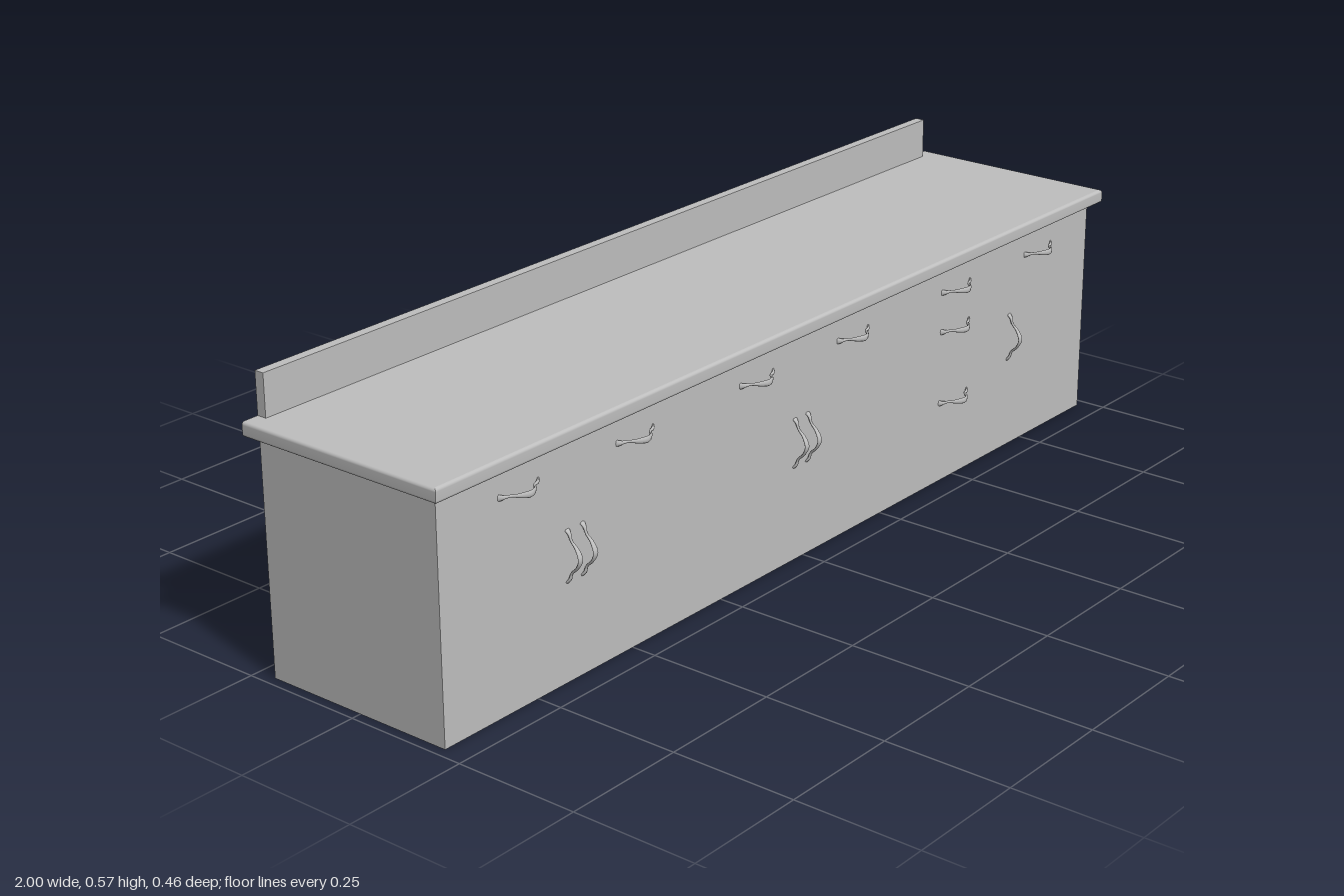
import * as THREE from 'three';

const TOP = 0.484, UNDER = 0.456, BACK = -0.23;

const grey = new THREE.MeshStandardMaterial({ color: 0xbebebe, side: THREE.DoubleSide });
grey.name = 'plain grey';

// Surface through rows of points, with smooth normals
function loft(rows, closed = false) {
  const n = rows[0].length, index = [];
  for (let i = 0; i < rows.length - 1; i++) {
    for (let j = 0; j < (closed ? n : n - 1); j++) {
      const a = i * n + j, b = i * n + (j + 1) % n;
      index.push(a, b, a + n, b, b + n, a + n);
    }
  }
  const g = new THREE.BufferGeometry();
  g.setAttribute('position', new THREE.Float32BufferAttribute(rows.flat(2), 3));
  g.setIndex(index);
  g.computeVertexNormals();
  return g;
}

function add(parent, name, geometry, x = 0, y = 0, z = 0) {
  const m = new THREE.Mesh(geometry, grey);
  m.name = name;
  m.position.set(x, y, z);
  parent.add(m);
  return m;
}

// Rounded edge of the worktop: [distance in from the rim, height]
function edgeProfile() {
  const r = 0.006, pts = [];
  for (let i = 0; i <= 4; i++) {
    const a = i / 4 * Math.PI / 2;
    pts.push([r - r * Math.sin(a), TOP - r + r * Math.cos(a)]);
  }
  for (let i = 0; i <= 4; i++) {
    const a = i / 4 * Math.PI / 2;
    pts.push([r - r * Math.cos(a), UNDER + r - r * Math.sin(a)]);
  }
  pts.push([0.02, UNDER]);
  return pts;
}

// Bowed pull along x: wide feet, slim legs and a wide grip
function handleGeometry() {
  const curve = new THREE.CatmullRomCurve3([
    [-0.05, -0.002], [-0.043, 0.004], [-0.03, 0.009], [-0.018, 0.021], [0, 0.029],
    [0.018, 0.021], [0.03, 0.009], [0.043, 0.004], [0.05, -0.002],
  ].map(([x, z]) => new THREE.Vector3(x, 0, z)));
  const rows = [];
  const steps = 28, sides = 8;
  for (let i = 0; i <= steps; i++) {
    const t = i / steps, p = curve.getPoint(t), d = curve.getTangent(t);
    const wide = 0.0045 + 0.002 * Math.cos(t * Math.PI * 4);
    const thick = 0.0025;
    const row = [];
    for (let j = 0; j < sides; j++) {
      const a = j / sides * Math.PI * 2;
      const u = Math.cos(a) * thick, v = Math.sin(a) * wide;
      row.push([p.x - d.z * u, v, p.z + d.x * u]);
    }
    rows.push(row);
  }
  return loft(rows, true);
}

export function createModel() {
  const model = new THREE.Group();
  model.name = 'counter';

  // Cabinet: thin front and ends, open at the back and below
  const cabinet = new THREE.Group();
  cabinet.name = 'cabinet';
  model.add(cabinet);
  add(cabinet, 'frontPanel', new THREE.PlaneGeometry(1.957, UNDER), -0.002, UNDER / 2, 0.199);
  for (const s of [-1, 1]) {
    const end = add(cabinet, s > 0 ? 'leftEnd' : 'rightEnd',
      new THREE.PlaneGeometry(0.409, UNDER), -0.002 + s * 0.9785, UNDER / 2, -0.0055);
    end.rotation.y = s * Math.PI / 2;
  }

  // Worktop: thin sheet with a rounded edge on three sides
  const worktop = new THREE.Group();
  worktop.name = 'worktop';
  model.add(worktop);
  const rim = 0.006, front = 0.22;
  const sheet = new THREE.PlaneGeometry(2 - 2 * rim, front - rim - BACK).rotateX(-Math.PI / 2);
  add(worktop, 'worktopSheet', sheet, 0, TOP, (front - rim + BACK) / 2);
  const profile = edgeProfile();
  add(worktop, 'frontEdge', loft([
    profile.map(([d, y]) => [1 - d, y, front - d]),
    profile.map(([d, y]) => [-1 + d, y, front - d]),
  ]));
  add(worktop, 'leftEdge', loft([
    profile.map(([d, y]) => [1 - d, y, BACK]),
    profile.map(([d, y]) => [1 - d, y, front - d]),
  ]));
  add(worktop, 'rightEdge', loft([
    profile.map(([d, y]) => [-1 + d, y, front - d]),
    profile.map(([d, y]) => [-1 + d, y, BACK]),
  ]));

  // Upstand along the back
  add(model, 'backsplash', new THREE.BoxGeometry(1.924, 0.082, 0.02), -0.002, TOP + 0.041, -0.22);

  // Drawer pulls lie flat, door pulls stand upright
  const pull = handleGeometry();
  const drawers = [
    [-0.785, 0.405], [-0.487, 0.405], [-0.145, 0.405], [0.15, 0.405], [0.79, 0.405],
    [0.495, 0.405], [0.495, 0.322], [0.495, 0.17],
  ];
  for (const [x, y] of drawers) add(model, 'drawerHandle', pull, x, y, 0.199);
  for (const x of [-0.667, -0.628, -0.029, 0.01, 0.693]) {
    add(model, 'doorHandle', pull, x, 0.24, 0.199).rotation.z = Math.PI / 2;
  }
  return model;
}
